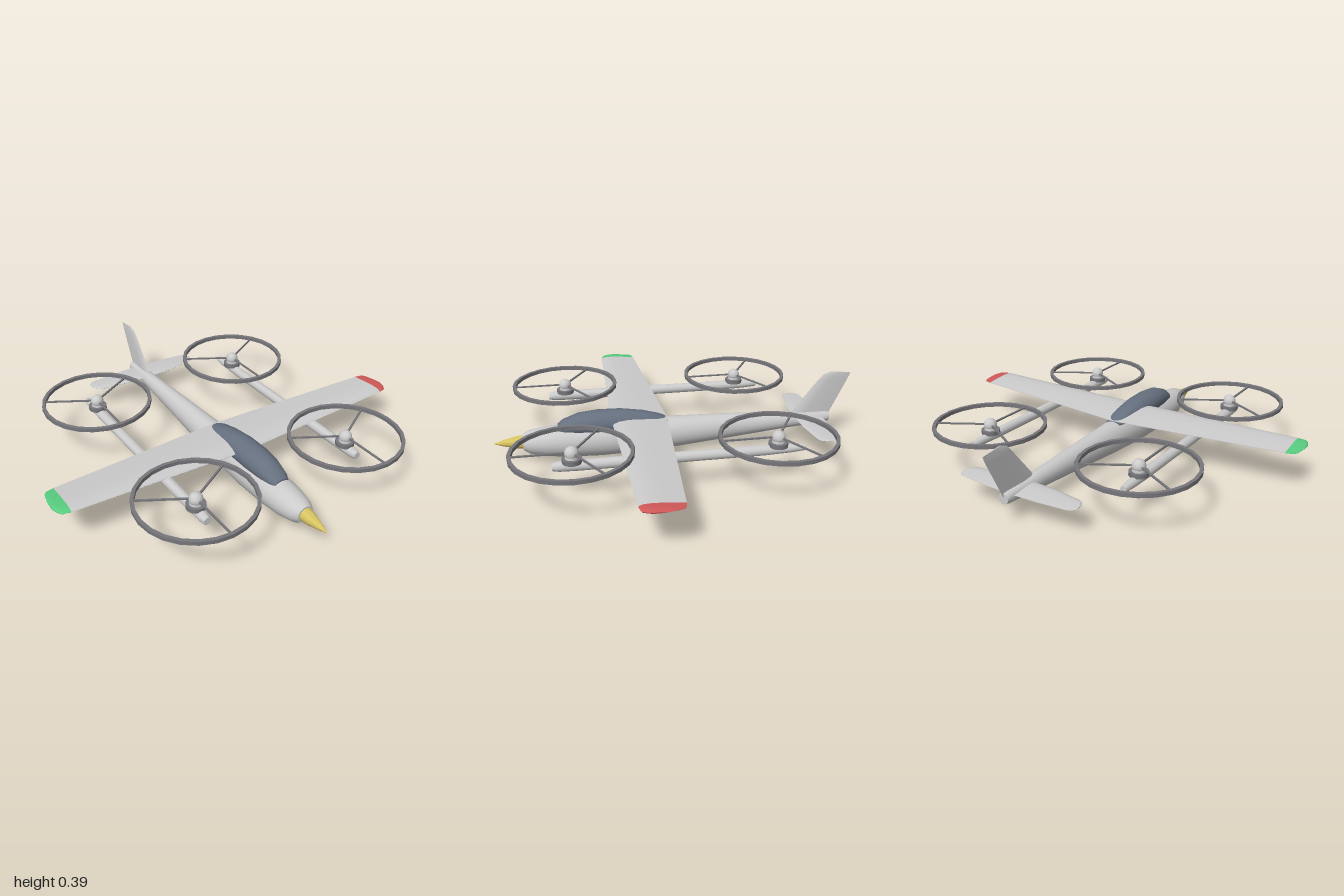
import * as THREE from 'three';
import { toCreasedNormals } from 'three/addons/utils/BufferGeometryUtils.js';

const mat = (color) => new THREE.MeshStandardMaterial({ color });
const grey = mat(0xcccccc), dark = mat(0x77777c), glass = mat(0x66707f);
const yellow = mat(0xd8c462), red = mat(0xd05858), green = mat(0x58cc80);

function add(parent, name, geometry, material, x = 0, y = 0, z = 0) {
  const mesh = new THREE.Mesh(geometry, material);
  mesh.name = name;
  mesh.position.set(x, y, z);
  parent.add(mesh);
  return mesh;
}

// Skin over a row of closed cross-sections, capped at both ends, facing outwards
function loft(sections, crease = 0.7) {
  const tris = [], n = sections[0].length;
  const centre = (s) => s.reduce((a, p) => a.add(p), new THREE.Vector3()).divideScalar(n);
  for (let i = 0; i < sections.length - 1; i++) {
    for (let j = 0; j < n; j++) {
      const k = (j + 1) % n, a = sections[i], b = sections[i + 1];
      tris.push([a[j], a[k], b[k]], [a[j], b[k], b[j]]);
    }
  }
  const first = sections[0], last = sections[sections.length - 1];
  const c0 = centre(first), c1 = centre(last);
  for (let j = 0; j < n; j++) {
    const k = (j + 1) % n;
    tris.push([c0, first[k], first[j]], [c1, last[j], last[k]]);
  }
  // Signed volume tells whether the winding has to be turned round
  const volume = tris.reduce((v, [a, b, c]) => v + a.dot(b.clone().cross(c)), 0);
  const points = tris.flatMap(([a, b, c]) => (volume < 0 ? [a, c, b] : [a, b, c]));
  return toCreasedNormals(new THREE.BufferGeometry().setFromPoints(points), crease);
}

// Ellipse across the z axis from [z, bottom, top, half width]
function hoop([z, bottom, top, w], sides = 20) {
  return Array.from({ length: sides }, (_, i) => {
    const a = (i / sides) * Math.PI * 2;
    return new THREE.Vector3(w * Math.cos(a), (bottom + top) / 2 + ((top - bottom) / 2) * Math.sin(a), z);
  });
}

// Airfoil loop as [fraction from leading edge, height in half thicknesses]
const FOIL = [[0, 0], [0.03, 0.45], [0.12, 0.85], [0.3, 1], [0.6, 0.7], [1, 0.08],
  [1, -0.08], [0.6, -0.5], [0.3, -0.8], [0.12, -0.7], [0.03, -0.4]];

// Cross-section of a horizontal surface from [x, y, leading z, trailing z, half thickness]
const rib = ([x, y, lead, trail, t]) =>
  FOIL.map(([u, h]) => new THREE.Vector3(x, y + h * t, lead + (trail - lead) * u));

// Cross-section of the fin from [y, leading z, trailing z, half thickness]
function finRib([y, lead, trail, t]) {
  return [[0, 0], [0.1, 0.7], [0.35, 1], [1, 0.1], [1, -0.1], [0.35, -1], [0.1, -0.7]]
    .map(([u, h]) => new THREE.Vector3(h * t, y[0] + (y[1] - y[0]) * u, lead + (trail - lead) * u));
}

const mirrored = (ribs) => [
  ...ribs.slice().reverse().map(([x, ...rest]) => [-x, ...rest]),
  ...ribs.filter(([x]) => x > 0),
];

function makeRotor() {
  const rotor = new THREE.Group();
  add(rotor, 'motorBase', new THREE.CylinderGeometry(0.048, 0.048, 0.022, 20), dark, 0, 0.2, 0);
  add(rotor, 'motorBody', new THREE.CylinderGeometry(0.028, 0.034, 0.04, 20), grey, 0, 0.222, 0);
  add(rotor, 'hub', new THREE.SphereGeometry(0.034, 20, 12), grey, 0, 0.236, 0);
  // Guard ring with a slim rectangular section
  const ring = new THREE.LatheGeometry([[0.276, -0.01], [0.294, -0.01], [0.294, 0.01],
    [0.276, 0.01], [0.276, -0.01]].map(([r, y]) => new THREE.Vector2(r, y)), 24);
  add(rotor, 'guardRing', toCreasedNormals(ring.toNonIndexed(), 0.7), dark, 0, 0.238, 0);
  for (let i = 0; i < 3; i++) {
    const blade = new THREE.BoxGeometry(0.01, 0.007, 0.28).translate(0, 0, 0.14);
    add(rotor, 'blade', blade, dark, 0, 0.238, 0).rotation.y = (i * Math.PI * 2) / 3;
  }
  return rotor;
}

export function createModel() {
  const model = new THREE.Group();
  model.name = 'aircraft';

  // Body
  add(model, 'fuselage', loft([
    [0.81, 0.058, 0.148, 0.045], [0.775, 0.038, 0.163, 0.064], [0.7, 0.02, 0.175, 0.08],
    [0.58, 0.006, 0.184, 0.089], [0.4, 0, 0.19, 0.092], [0.2, 0.006, 0.19, 0.086],
    [0, 0.019, 0.187, 0.074], [-0.3, 0.046, 0.18, 0.055], [-0.6, 0.075, 0.167, 0.04],
    [-0.825, 0.096, 0.158, 0.031], [-0.847, 0.1, 0.154, 0.027],
  ].map((s) => hoop(s))), grey);
  add(model, 'noseCone', loft([
    [0.805, 0.066, 0.14, 0.037], [0.85, 0.072, 0.134, 0.031], [0.91, 0.086, 0.12, 0.017],
    [0.96, 0.102, 0.104, 0.001],
  ].map((s) => hoop(s))), yellow);
  add(model, 'canopy', loft([
    [0.63, 0.14, 0.187, 0.042], [0.6, 0.13, 0.212, 0.054], [0.52, 0.12, 0.242, 0.067],
    [0.42, 0.115, 0.252, 0.074], [0.3, 0.115, 0.25, 0.073], [0.18, 0.13, 0.232, 0.062],
    [0.1, 0.15, 0.208, 0.052], [0.055, 0.16, 0.19, 0.043],
  ].map((s) => hoop(s))), glass);

  // Wing with coloured tips
  add(model, 'wing', loft(mirrored([
    [0, 0.19, 0.35, 0.055, 0.021], [0.935, 0.211, 0.326, 0.124, 0.013],
  ]).map(rib)), grey);
  for (const side of [1, -1]) {
    add(model, side > 0 ? 'leftWingTip' : 'rightWingTip', loft([
      [0.935, 0.211, 0.326, 0.124, 0.013], [0.975, 0.212, 0.318, 0.133, 0.012],
      [0.988, 0.213, 0.3, 0.15, 0.009], [1, 0.214, 0.268, 0.205, 0.004],
    ].map(([x, ...r]) => rib([side * x, ...r]))), side > 0 ? red : green);
  }

  // Tail
  add(model, 'tailplane', loft(mirrored([
    [0, 0.135, -0.652, -0.807, 0.01], [0.15, 0.135, -0.66, -0.802, 0.009],
    [0.3, 0.135, -0.682, -0.787, 0.007], [0.32, 0.135, -0.692, -0.78, 0.005],
    [0.335, 0.135, -0.722, -0.762, 0.002],
  ]).map(rib)), grey);
  add(model, 'fin', loft([
    [[0.145, 0.13], -0.61, -0.845, 0.012], [[0.165, 0.16], -0.635, -0.858, 0.011],
    [[0.345, 0.335], -0.78, -0.942, 0.007], [[0.372, 0.36], -0.805, -0.953, 0.006],
    [[0.387, 0.376], -0.845, -0.957, 0.003],
  ].map(finRib)), grey);

  // Booms carrying a front and a rear rotor on each side
  for (const side of [1, -1]) {
    const boom = new THREE.Group();
    boom.name = side > 0 ? 'leftBoom' : 'rightBoom';
    boom.position.x = side * 0.445;
    add(boom, 'boomTube', loft([
      [0.667, 0.153, 0.191, 0.019], [0.635, 0.147, 0.197, 0.025], [0.55, 0.145, 0.199, 0.027],
      [-0.35, 0.146, 0.198, 0.026], [-0.48, 0.15, 0.195, 0.023], [-0.555, 0.156, 0.189, 0.016],
    ].map((s) => hoop(s, 16))), grey);
    for (const [name, z] of [['frontRotor', 0.573], ['rearRotor', -0.421]]) {
      const rotor = makeRotor();
      rotor.name = name;
      rotor.position.z = z;
      boom.add(rotor);
    }
    model.add(boom);
  }
  return model;
}
